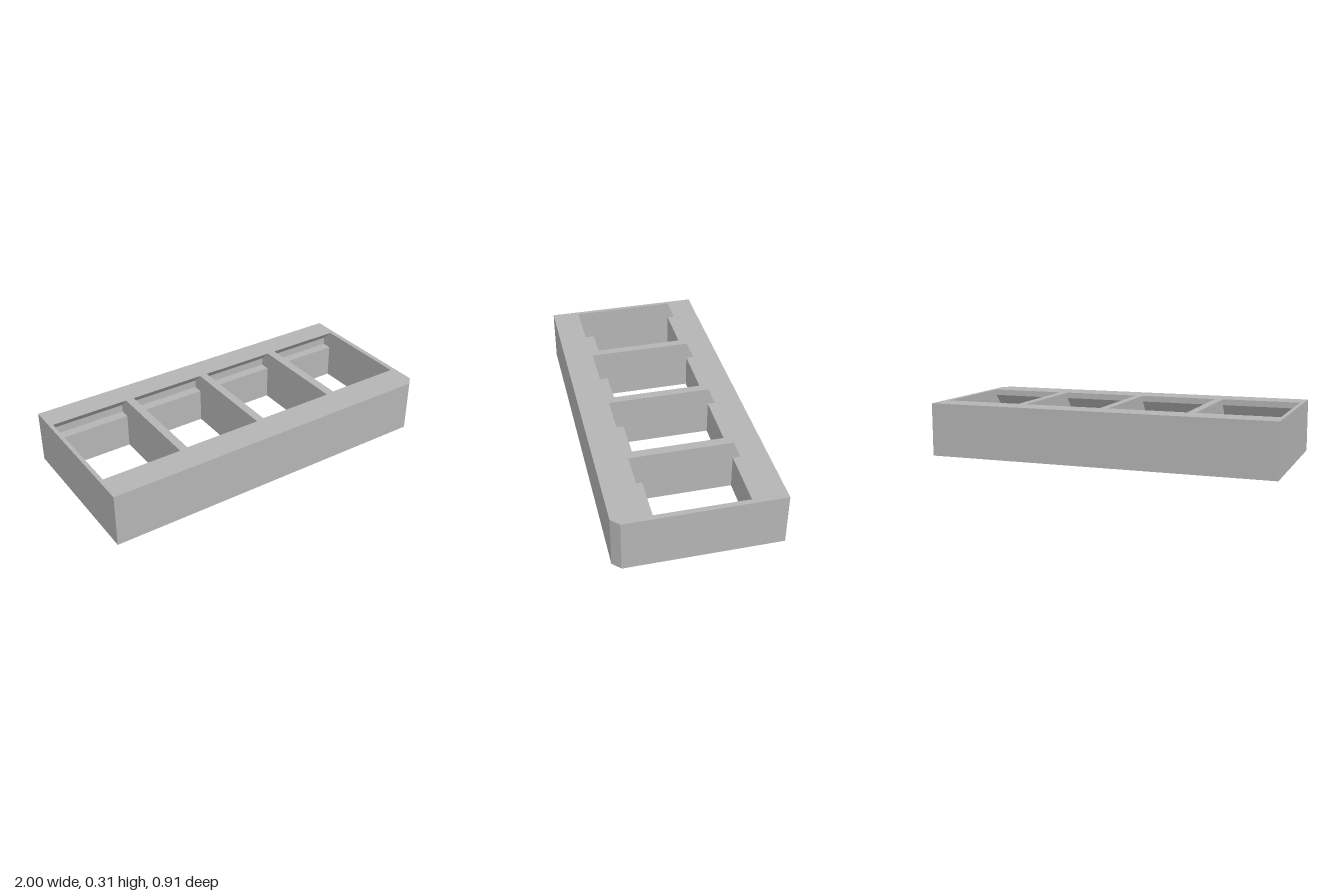
import * as THREE from 'three';
import { mergeGeometries } from 'three/addons/utils/BufferGeometryUtils.js';

const H = 0.305;
const BACK = -0.305;   // rear edge of every opening
const STEP = 0.2;      // front edge of the through holes
const OUTLINE = [[-1, 0.454], [0.955, 0.454], [1, 0.41], [1, -0.454], [-1, -0.454]]; // x, z

// x start, x end, z of the front lip
const BAYS = [
  [-0.977, -0.524, 0.294],
  [-0.476, -0.025, 0.288],
  [0.022, 0.473, 0.281],
  [0.524, 0.971, 0.273],
];

// Hollow of a bay as (z, y): down the rear wall, then up the front wall
const bayProfile = (lip) => [
  [BACK, H], [BACK - 0.058, 0.245], [BACK - 0.058, 0.2], [BACK, 0.2], [BACK, 0],
  [STEP, 0], [STEP, 0.122], [0.34, 0.122], [0.34, 0.2], [lip, 0.27], [lip, H],
];

const toShape = (pts) => new THREE.Shape(pts.map(([u, v]) => new THREE.Vector2(u, v)));
const flatFace = (shape) => new THREE.ShapeGeometry(shape).toNonIndexed();

function quad(a, b, c, d) {
  const g = new THREE.BufferGeometry();
  g.setAttribute('position', new THREE.Float32BufferAttribute([a, b, c, a, c, d].flat(), 3));
  g.setAttribute('uv', new THREE.Float32BufferAttribute(new Array(12).fill(0), 2));
  g.computeVertexNormals();
  return g;
}

// Horizontal plate with one rectangular hole per bay; sign turns z into the shape's second axis
function plate(sign, frontEdge) {
  const shape = toShape(OUTLINE.map(([x, z]) => [x, sign * z]));
  for (const bay of BAYS) {
    const [x0, x1] = bay;
    const a = sign * BACK, b = sign * frontEdge(bay);
    shape.holes.push(toShape([[x0, a], [x1, a], [x1, b], [x0, b]]));
  }
  return flatFace(shape);
}

export function createModel() {
  const group = new THREE.Group();
  group.name = 'fourBayHolder';
  const grey = new THREE.MeshStandardMaterial({ color: 0xb4b4b4 });
  grey.name = 'grey';

  // Top and bottom faces
  const parts = [
    plate(-1, (bay) => bay[2]).rotateX(-Math.PI / 2).translate(0, H, 0),
    plate(1, () => STEP).rotateX(Math.PI / 2),
  ];

  // Outer walls, including the clipped corner
  OUTLINE.forEach(([x, z], i) => {
    const [x2, z2] = OUTLINE[(i + 1) % OUTLINE.length];
    parts.push(quad([x, 0, z], [x2, 0, z2], [x2, H, z2], [x, H, z]));
  });

  // Bays: catches and ledges across the width, then the two side walls
  for (const [x0, x1, lip] of BAYS) {
    const profile = bayProfile(lip);
    for (let i = 0; i < profile.length - 1; i++) {
      if (i === 4) continue; // open bottom
      const [z, y] = profile[i], [z2, y2] = profile[i + 1];
      parts.push(quad([x0, y, z], [x0, y2, z2], [x1, y2, z2], [x1, y, z]));
    }
    parts.push(flatFace(toShape(profile.map(([z, y]) => [-z, y]))).rotateY(Math.PI / 2).translate(x0, 0, 0));
    parts.push(flatFace(toShape(profile)).rotateY(-Math.PI / 2).translate(x1, 0, 0));
  }

  const frame = new THREE.Mesh(mergeGeometries(parts), grey);
  frame.name = 'frame';
  group.add(frame);
  return group;
}
